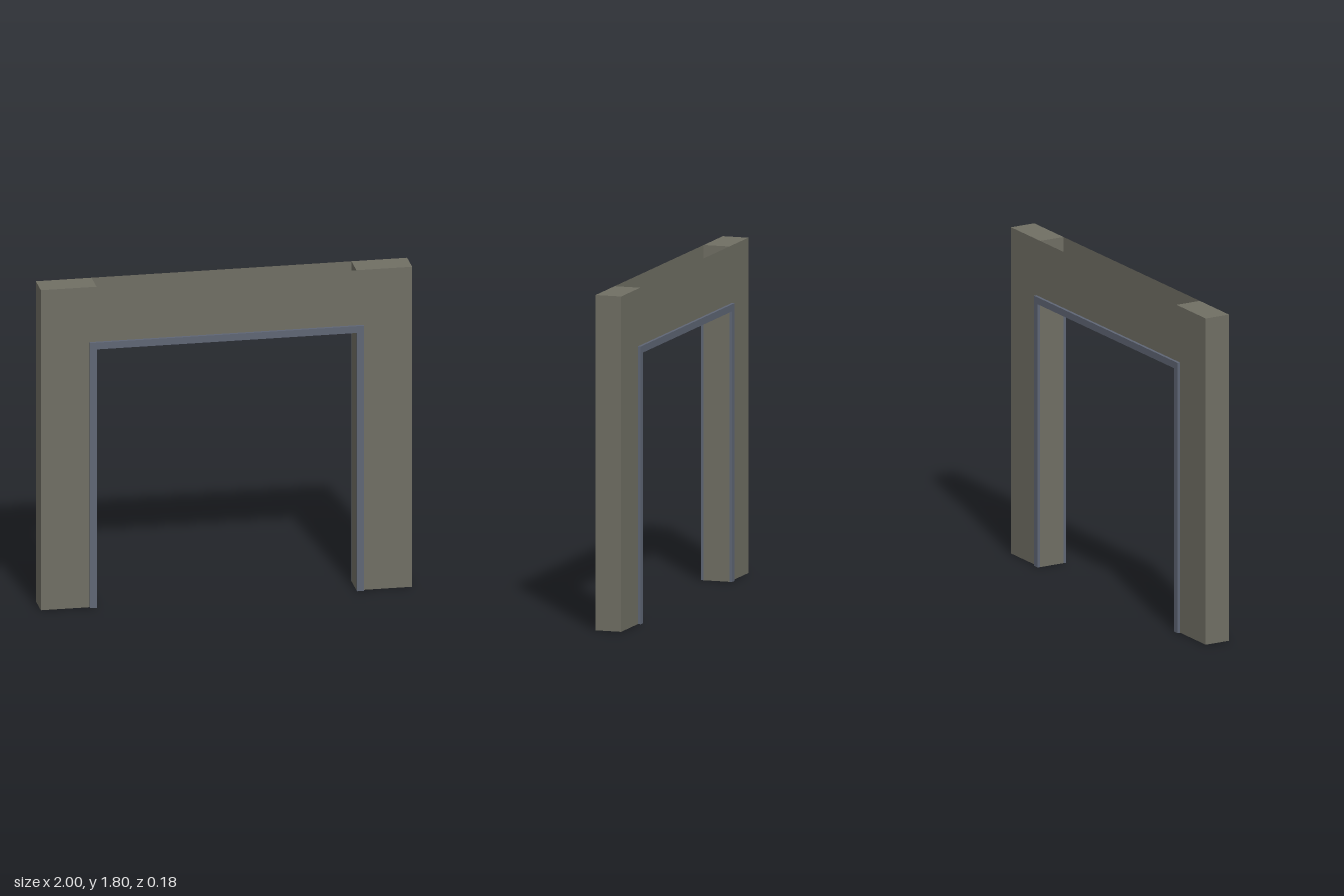
import * as THREE from 'three';

const H = 1.8, OPEN_X = 0.7, OPEN_Y = 1.453, HALF_D = 0.072;
const TRIM_W = 0.038, TRIM_D = 0.016;

export function createModel() {
  const wall = new THREE.MeshStandardMaterial({ color: 0x706f64, side: THREE.DoubleSide });
  wall.name = 'warmGreyWall';
  const trim = new THREE.MeshStandardMaterial({ color: 0x5f6675 });
  trim.name = 'blueGreyTrim';

  const model = new THREE.Group();
  model.name = 'doorwayWall';
  const add = (name, geometry, material, x, y, z) => {
    const mesh = new THREE.Mesh(geometry, material);
    mesh.name = name;
    mesh.position.set(x, y, z);
    model.add(mesh);
    return mesh;
  };

  // Solid posts on both sides of the opening
  const postW = 1 - OPEN_X;
  for (const [side, s] of [['left', 1], ['right', -1]]) {
    add(side + 'Post', new THREE.BoxGeometry(postW, H, HALF_D * 2), wall,
      s * (OPEN_X + postW / 2), H / 2, 0);
  }

  // Hollow lintel, open at the top: two thin panels and a floor
  const lintelH = H - OPEN_Y;
  for (const [side, s] of [['front', 1], ['back', -1]]) {
    const panel = add(side + 'LintelPanel', new THREE.PlaneGeometry(OPEN_X * 2, lintelH), wall,
      0, OPEN_Y + lintelH / 2, s * HALF_D);
    if (s < 0) panel.rotation.y = Math.PI;
  }
  const floor = add('lintelFloor', new THREE.PlaneGeometry(OPEN_X * 2, HALF_D * 2), wall, 0, OPEN_Y, 0);
  floor.rotation.x = Math.PI / 2;

  // Liner under the lintel
  add('headLiner', new THREE.BoxGeometry(OPEN_X * 2, 0.003, HALF_D * 2), trim, 0, OPEN_Y - 0.002, 0);

  // Raised trim around the opening, front and back
  const o = OPEN_X + TRIM_W, top = OPEN_Y + TRIM_W;
  const outline = new THREE.Shape([
    [-o, 0], [-OPEN_X, 0], [-OPEN_X, OPEN_Y], [OPEN_X, OPEN_Y],
    [OPEN_X, 0], [o, 0], [o, top], [-o, top],
  ].map(([x, y]) => new THREE.Vector2(x, y)));
  const trimGeometry = new THREE.ExtrudeGeometry(outline, { depth: TRIM_D, bevelEnabled: false });
  add('frontTrim', trimGeometry, trim, 0, 0, HALF_D);
  add('backTrim', trimGeometry, trim, 0, 0, -HALF_D - TRIM_D);

  return model;
}
